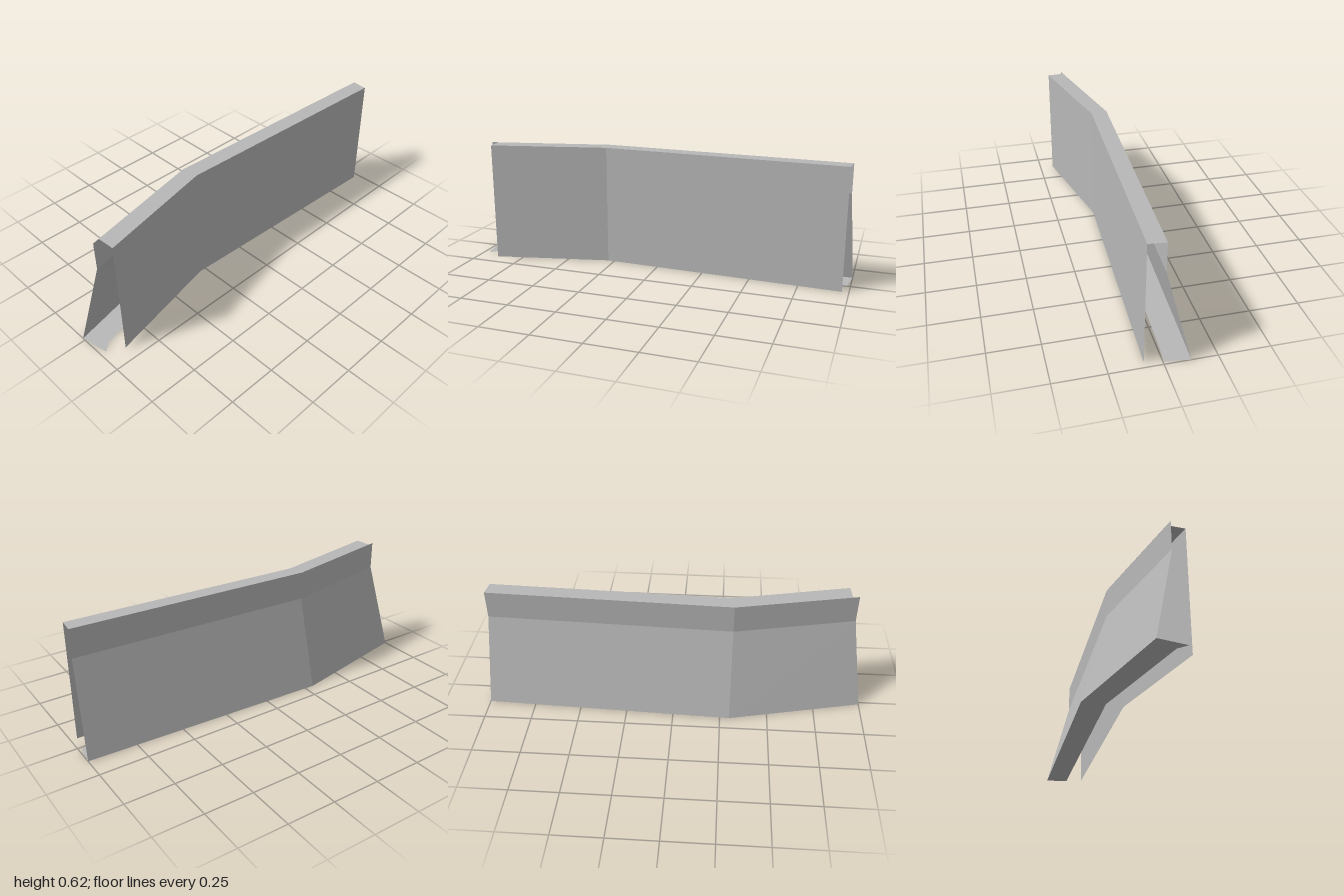
import * as THREE from 'three';

// Plan lines running left to right, as [x, z]: end, bend, end
const FRONT = [[-0.89, 0.173], [-0.285, 0.037], [0.967, 0.083]];
const ROOF_FRONT = FRONT;
const ROOF_BACK = [[-0.895, 0.083], [-0.3, -0.047], [0.975, 0]];
const BACK_TOP = [[-0.93, 0.091], [-0.3, -0.047], [0.975, 0]];
const BACK_FOOT = [[-1, -0.015], [-0.3, -0.173], [1, -0.125]];
// The foot lip has a small pointed tab at its left end
const LIP_BACK = [[-1, -0.015], [-0.93, -0.031], [-0.3, -0.173], [1, -0.125]];
const LIP_FRONT = [[-0.97, 0.13], [-0.93, 0.091], [-0.3, -0.052], [0.983, -0.006]];

const HEIGHT = 0.625;
const KINK = 0.477;

const at = (line, y) => line.map(([x, z]) => [x, y, z]);

// Sheet of flat panels stretched between successive rows of points
function sheet(name, rows, material) {
  const positions = [];
  for (let r = 0; r < rows.length - 1; r++) {
    const a = rows[r], b = rows[r + 1];
    for (let i = 0; i < a.length - 1; i++) {
      for (const p of [a[i], a[i + 1], b[i + 1], a[i], b[i + 1], b[i]]) positions.push(...p);
    }
  }
  const geometry = new THREE.BufferGeometry();
  geometry.setAttribute('position', new THREE.Float32BufferAttribute(positions, 3));
  geometry.computeVertexNormals();
  const mesh = new THREE.Mesh(geometry, material);
  mesh.name = name;
  return mesh;
}

export function createModel() {
  const grey = new THREE.MeshStandardMaterial({ color: 0xb8b8b8, side: THREE.DoubleSide });
  grey.name = 'concrete grey';

  const group = new THREE.Group();
  group.name = 'bentBarrierWall';
  group.add(
    // Upright face
    sheet('frontFace', [at(FRONT, 0), at(FRONT, HEIGHT)], grey),
    // Narrow cap
    sheet('topCap', [at(ROOF_FRONT, HEIGHT), at(ROOF_BACK, HEIGHT)], grey),
    // Upright band, then a slope spreading out to the foot
    sheet('backFace', [at(BACK_TOP, HEIGHT), at(BACK_TOP, KINK), at(BACK_FOOT, 0)], grey),
    // Lip folded in under the back slope
    sheet('footLip', [at(LIP_BACK, 0), at(LIP_FRONT, 0)], grey),
  );
  return group;
}
